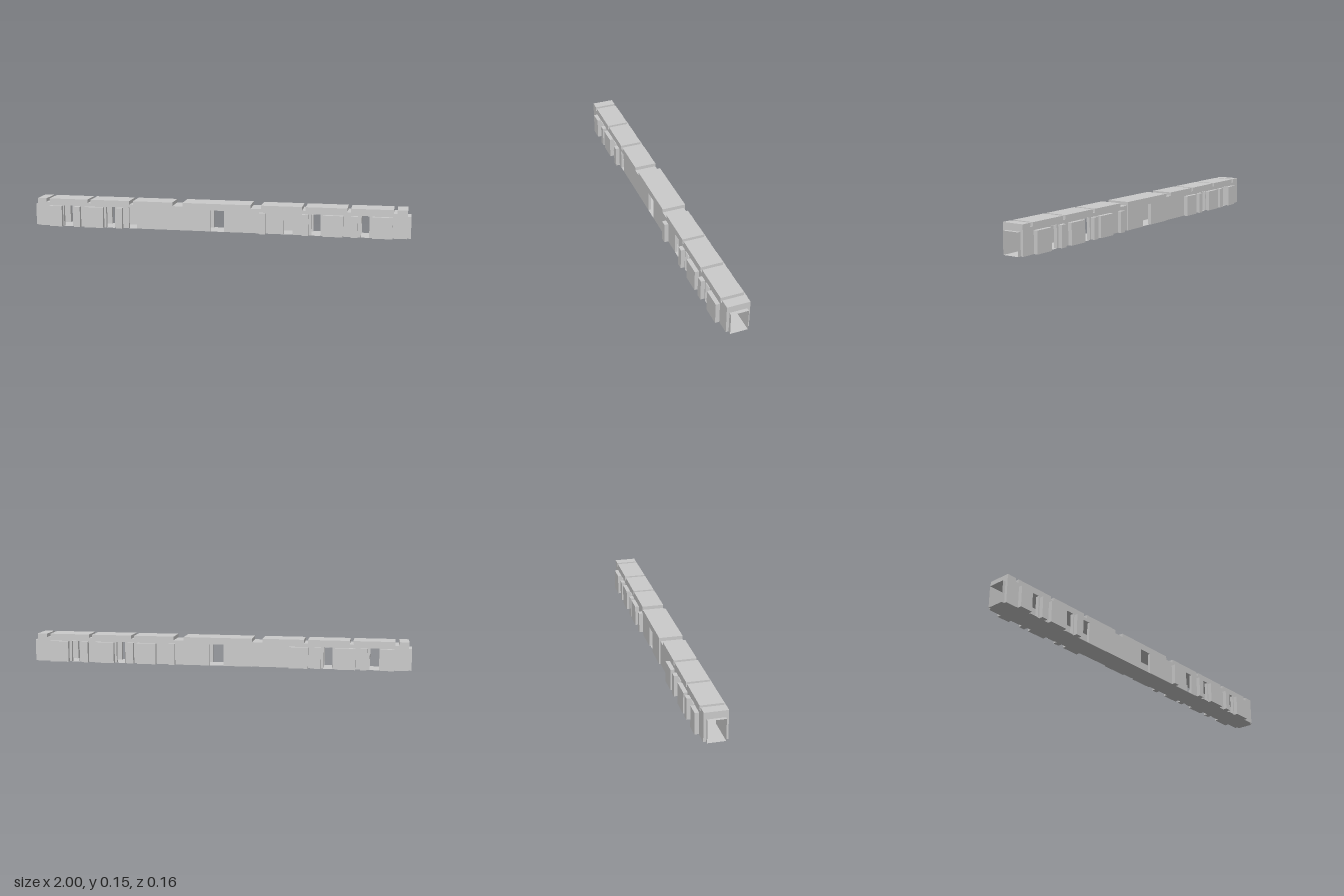
import * as THREE from 'three';

const X0 = -0.985, X1 = 0.982;      // body ends
const IN = 0.044, OUT = 0.058;      // inner and outer wall faces
const HEAD = 0.112, NOTCH = 0.128, TOP = 0.147;

const doors = [[-0.837, -0.789], [-0.6, -0.553], [-0.035, 0.04], [0.497, 0.543], [0.749, 0.791]];
const frontOnlyDoors = [[-0.476, -0.433], [0.353, 0.4]];
const notches = [[-0.935, -0.917], [-0.705, -0.687], [-0.473, -0.453], [-0.238, -0.184],
  [0.178, 0.233], [0.447, 0.465], [0.678, 0.697], [0.912, 0.93]];
const panels = [[-0.913, -0.843], [-0.776, -0.742], [-0.717, -0.613], [-0.542, -0.508],
  [0.225, 0.258], [0.448, 0.482], [0.555, 0.659], [0.698, 0.733], [0.806, 0.908]];
const backOnlyPanels = [[-0.476, -0.377], [0.326, 0.428]];

export function createModel() {
  const model = new THREE.Group();
  const solid = new THREE.MeshStandardMaterial({ color: 0xcccccc, flatShading: true });
  const sheet = new THREE.MeshStandardMaterial({ color: 0xcccccc, flatShading: true, side: THREE.DoubleSide });

  const add = (name, geometry, material = solid) => {
    const mesh = new THREE.Mesh(geometry, material);
    mesh.name = name;
    model.add(mesh);
    return mesh;
  };
  const box = (name, xa, xb, ya, yb, za, zb) =>
    add(name, new THREE.BoxGeometry(xb - xa, yb - ya, Math.abs(zb - za)))
      .position.set((xa + xb) / 2, (ya + yb) / 2, (za + zb) / 2);
  // Thin horizontal sheet
  const flat = (name, xa, xb, za, zb, y) => {
    const mesh = add(name, new THREE.PlaneGeometry(xb - xa, Math.abs(zb - za)).rotateX(-Math.PI / 2), sheet);
    mesh.position.set((xa + xb) / 2, y, (za + zb) / 2);
  };
  // Thin upright sheet, facing x
  const upright = (name, x, za, zb) => {
    const mesh = add(name, new THREE.PlaneGeometry(Math.abs(zb - za), HEAD).rotateY(Math.PI / 2), sheet);
    mesh.position.set(x, HEAD / 2, (za + zb) / 2);
  };

  // Roof: long notched profile across the full width
  const roof = new THREE.Shape();
  roof.moveTo(X0, HEAD);
  roof.lineTo(X1, HEAD);
  roof.lineTo(X1, TOP);
  for (const [a, b] of [...notches].reverse()) {
    roof.lineTo(b, TOP);
    roof.lineTo(b, NOTCH);
    roof.lineTo(a, NOTCH);
    roof.lineTo(a, TOP);
  }
  roof.lineTo(X0, TOP);
  add('roof', new THREE.ExtrudeGeometry(roof, { depth: 2 * OUT, bevelEnabled: false }).translate(0, 0, -OUT));

  // Deeper middle section at the back
  const [mid0, mid1] = [-0.184, 0.178];
  box('middleBackFascia', mid0, mid1, HEAD, TOP, -OUT, -0.065);
  box('middleBackWall', mid0, doors[2][0], 0, HEAD, -OUT, -0.065);
  box('middleBackWall', doors[2][1], mid1, 0, HEAD, -OUT, -0.065);

  for (const s of [1, -1]) {
    const side = s > 0 ? 'front' : 'back';

    // Wall pieces between the doorways
    const gaps = s > 0 ? [...doors, ...frontOnlyDoors].sort((p, q) => p[0] - q[0]) : doors;
    let x = X0;
    for (const [a, b] of [...gaps, [X1, X1]]) {
      box(side + 'Wall', x, a, 0, HEAD, s * IN, s * OUT);
      x = b;
    }

    // Raised wall panels and posts
    for (const [a, b] of s > 0 ? panels : [...panels, ...backOnlyPanels])
      box(side + 'Panel', a, b, 0, 0.11, s * OUT, s * 0.079);

    // Thin doorway linings, standing slightly proud of the wall
    for (const [a, b] of doors) {
      if (a < 0 && b > 0) continue;
      upright(side + 'DoorLining', a, s * OUT, s * 0.062);
      upright(side + 'DoorLining', b, s * OUT, s * 0.062);
      flat(side + 'DoorHead', a, b, s * OUT, s * 0.062, HEAD);
      flat(side + 'DoorSill', a, b, s * OUT, s * 0.062, 0);
    }
  }

  // Floor
  flat('floor', X0, X1, -OUT, OUT, 0);

  // Open connecting collars at both ends
  for (const [a, b] of [[-1, X0], [X1, 1]]) {
    flat('endCollarTop', a, b, -IN, IN, HEAD);
    flat('endCollarFloor', a, b, -IN, IN, 0);
    for (const s of [1, -1])
      add('endCollarSide', new THREE.PlaneGeometry(b - a, HEAD), sheet)
        .position.set((a + b) / 2, HEAD / 2, s * IN);
  }
  return model;
}
